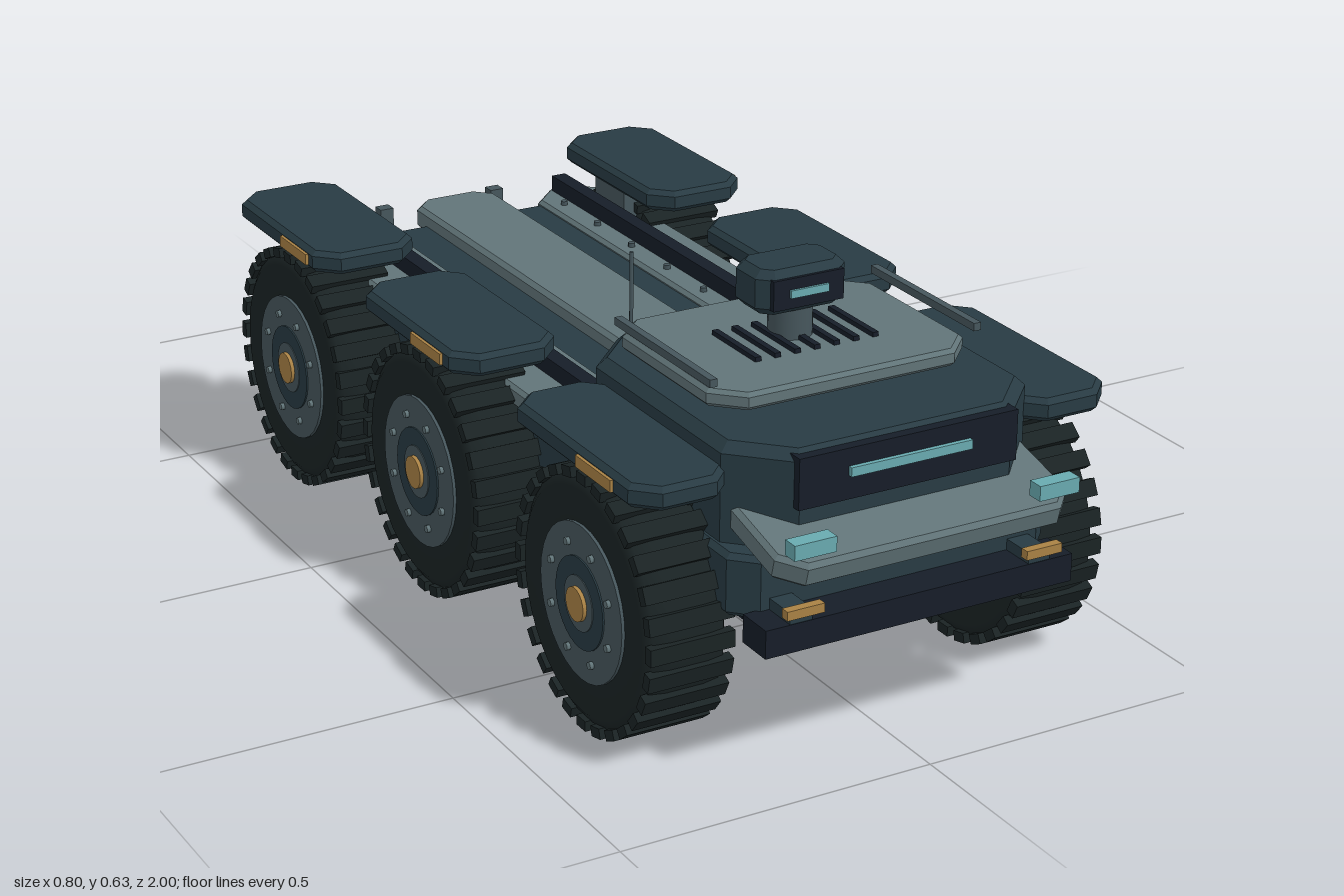
import * as THREE from 'three';

const mat = (color) => new THREE.MeshStandardMaterial({ color });
const HULL = mat(0x283b43), BLACK = mat(0x161d28), PANEL = mat(0x617478), STEEL = mat(0x46565c);
const TYRE = mat(0x1a2324), GLOW = mat(0x69aab0), AMBER = mat(0xa98245);

function add(parent, name, geometry, material, x = 0, y = 0, z = 0) {
  const mesh = new THREE.Mesh(geometry, material);
  mesh.name = name;
  mesh.position.set(x, y, z);
  parent.add(mesh);
  return mesh;
}

// Box given by its limits on each axis
function block(parent, name, material, [x0, x1], [y0, y1], [z0, z1]) {
  return add(parent, name, new THREE.BoxGeometry(x1 - x0, y1 - y0, z1 - z0), material,
    (x0 + x1) / 2, (y0 + y1) / 2, (z0 + z1) / 2);
}

// Plate with cut corners in plan and bevelled top and bottom edges
function plate(parent, name, material, [x0, x1], [y0, y1], [z0, z1], cut, bevel) {
  const w = (x1 - x0) / 2 - bevel, d = (z1 - z0) / 2 - bevel, h = y1 - y0;
  const shape = new THREE.Shape([
    [w, -d + cut], [w, d - cut], [w - cut, d], [-w + cut, d],
    [-w, d - cut], [-w, -d + cut], [-w + cut, -d], [w - cut, -d],
  ].map(([x, y]) => new THREE.Vector2(x, y)));
  const geometry = new THREE.ExtrudeGeometry(shape, {
    depth: h - 2 * bevel, bevelThickness: bevel, bevelSize: bevel, bevelSegments: 1,
  });
  geometry.translate(0, 0, bevel - h / 2).rotateX(-Math.PI / 2);
  return add(parent, name, geometry, material, (x0 + x1) / 2, (y0 + y1) / 2, (z0 + z1) / 2);
}

const disc = (radius, length, sides = 32) =>
  new THREE.CylinderGeometry(radius, radius, length, sides).rotateZ(Math.PI / 2);

// Wheel centred on its own axle, outer face towards +x
function makeWheel() {
  const wheel = new THREE.Group();
  wheel.name = 'wheel';
  const profile = [[0.1, -0.062], [0.172, -0.066], [0.188, -0.056], [0.192, -0.03],
    [0.192, 0.03], [0.188, 0.056], [0.172, 0.066], [0.1, 0.062]];
  const tyre = new THREE.LatheGeometry(profile.map(([r, h]) => new THREE.Vector2(r, h)), 40);
  add(wheel, 'tyre', tyre.rotateZ(-Math.PI / 2), TYRE);
  const lugs = 28;
  for (let i = 0; i < lugs; i++) {
    const a = (i / lugs) * Math.PI * 2;
    const lug = add(wheel, 'treadLug', new THREE.BoxGeometry(0.135, 0.016, 0.026), TYRE,
      0, Math.cos(a) * 0.192, Math.sin(a) * 0.192);
    lug.rotation.x = a;
  }
  add(wheel, 'rim', disc(0.12, 0.136), STEEL);
  add(wheel, 'hubRing', disc(0.07, 0.141), HULL);
  add(wheel, 'hub', disc(0.042, 0.144), STEEL);
  add(wheel, 'hubCap', disc(0.026, 0.012, 20), AMBER, 0.072);
  for (let i = 0; i < 8; i++) {
    const a = (i / 8) * Math.PI * 2 + Math.PI / 8;
    add(wheel, 'wheelBolt', disc(0.006, 0.008, 8), PANEL, 0.07, Math.cos(a) * 0.09, Math.sin(a) * 0.09);
  }
  return wheel;
}

export function createModel() {
  const model = new THREE.Group();
  model.name = 'sixWheelCarrier';

  // Chassis and cargo deck
  plate(model, 'chassis', HULL, [-0.265, 0.265], [0.24, 0.335], [-0.44, 0.91], 0.03, 0.008);
  block(model, 'bellyPlate', BLACK, [-0.24, 0.24], [0.232, 0.25], [-0.42, 0.88]);
  block(model, 'deck', HULL, [-0.15, 0.15], [0.32, 0.36], [-0.435, 0.42]);
  plate(model, 'centrePanel', PANEL, [-0.075, 0.075], [0.345, 0.385], [-0.5, 0.39], 0.025, 0.007);

  // Cab
  plate(model, 'cab', HULL, [-0.253, 0.253], [0.3, 0.483], [0.405, 0.915], 0.07, 0.015);
  plate(model, 'roofPlate', PANEL, [-0.215, 0.215], [0.49, 0.517], [0.45, 0.775], 0.04, 0.006);
  block(model, 'roofSpacer', HULL, [-0.15, 0.15], [0.475, 0.495], [0.5, 0.73]);
  block(model, 'visor', BLACK, [-0.18, 0.18], [0.4, 0.477], [0.88, 0.922]);
  block(model, 'visorLight', GLOW, [-0.1, 0.1], [0.436, 0.45], [0.915, 0.929]);
  for (let i = -3; i <= 3; i++) {
    block(model, 'roofVent', BLACK, [i * 0.033 - 0.005, i * 0.033 + 0.005], [0.51, 0.524], [0.56, 0.68]);
  }

  // Nose and bumper
  const nose = plate(model, 'nose', PANEL, [-0.242, 0.242], [0.345, 0.385], [0.755, 0.995], 0.03, 0.007);
  nose.rotation.x = 0.25;
  block(model, 'bumper', BLACK, [-0.255, 0.255], [0.212, 0.255], [0.905, 0.965]);

  // Sensor head
  add(model, 'sensorNeck', new THREE.CylinderGeometry(0.033, 0.033, 0.06, 24), STEEL, 0, 0.54, 0.605);
  const head = plate(model, 'sensorHead', HULL, [-0.075, 0.075], [0.564, 0.632], [0.555, 0.65], 0.014, 0.012);
  head.name = 'sensorHead';
  block(model, 'sensorFace', BLACK, [-0.059, 0.059], [0.575, 0.621], [0.63, 0.654]);
  block(model, 'sensorLight', GLOW, [-0.032, 0.032], [0.592, 0.604], [0.64, 0.658]);
  add(model, 'antenna', new THREE.CylinderGeometry(0.003, 0.003, 0.13, 8), STEEL, -0.187, 0.565, 0.47);

  // Parts on both sides
  const span = (s, a, b) => (s > 0 ? [a, b] : [-b, -a]);
  for (const s of [1, -1]) {
    plate(model, 'sidePanel', PANEL, span(s, 0.143, 0.282), [0.335, 0.368], [-0.49, 0.395], 0.045, 0.006);
    block(model, 'cargoRail', BLACK, span(s, 0.188, 0.214), [0.36, 0.395], [-0.475, 0.39]);
    for (let i = 0; i < 7; i++) {
      add(model, 'railBolt', new THREE.CylinderGeometry(0.006, 0.006, 0.008, 8), STEEL,
        s * 0.172, 0.371, -0.4 + i * 0.118);
    }
    block(model, 'roofRail', STEEL, span(s, 0.214, 0.226), [0.531, 0.543], [0.49, 0.76]);
    block(model, 'headlight', GLOW, span(s, 0.167, 0.234), [0.369, 0.392], [0.975, 1.0]);
    block(model, 'bumperLight', AMBER, span(s, 0.168, 0.228), [0.268, 0.282], [0.962, 0.976]);
    block(model, 'lightBracket', HULL, span(s, 0.18, 0.216), [0.25, 0.272], [0.9, 0.964]);

    // Wheels, fenders and side markers; the axles are added once
    const stations = [[0.67, 0.475, 0.865, 0.24], [0.15, -0.03, 0.325, 0.218], [-0.33, -0.51, -0.16, 0.218]];
    for (const [z, back, front, inner] of stations) {
      const wheel = makeWheel();
      wheel.position.set(s * 0.3125, 0.2, z);
      if (s < 0) wheel.rotation.y = Math.PI;
      model.add(wheel);
      plate(model, 'fender', HULL, span(s, inner, 0.395), [0.414, 0.45], [back, front], 0.03, 0.008);
      const mid = (back + front) / 2;
      block(model, 'fenderStrut', STEEL, span(s, 0.225, 0.26), [0.35, 0.42], [mid - 0.05, mid + 0.05]);
      block(model, 'sideMarker', AMBER, span(s, 0.385, 0.4), [0.423, 0.441], [z + 0.02, z + 0.12]);
      if (s > 0) add(model, 'axle', disc(0.029, 0.52, 24), STEEL, 0, 0.2, z);
    }

    // Lifting fork
    block(model, 'forkMast', STEEL, span(s, 0.094, 0.118), [0, 0.368], [-0.547, -0.525]);
    block(model, 'forkTine', STEEL, span(s, 0.09, 0.12), [0, 0.024], [-1.0, -0.54]);
  }
  block(model, 'forkCrossbar', HULL, [-0.15, 0.15], [0.046, 0.087], [-0.558, -0.517]);
  return model;
}
